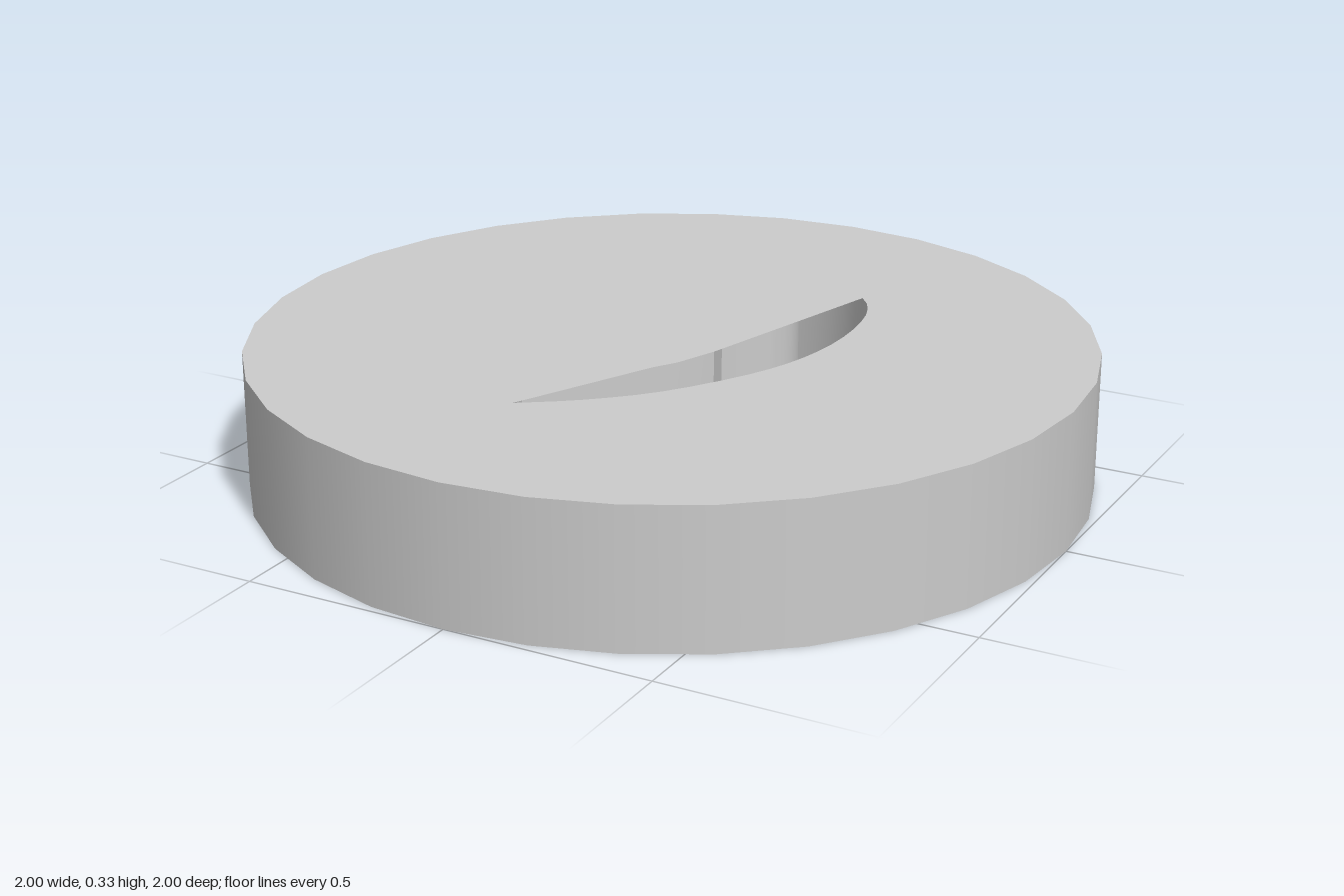
import * as THREE from 'three';
import { toCreasedNormals } from 'three/addons/utils/BufferGeometryUtils.js';

const HEIGHT = 0.333;
const SIDES = 32;
const v = ([x, z]) => new THREE.Vector2(x, z);

// Flat disc with a hole, at height y, facing up or down
function cap(hole, y, up) {
  const s = up ? -1 : 1;
  const rim = [];
  for (let i = 0; i < SIDES; i++) {
    const a = (i / SIDES) * Math.PI * 2;
    rim.push(new THREE.Vector2(Math.cos(a), Math.sin(a)));
  }
  const shape = new THREE.Shape(rim);
  shape.holes.push(new THREE.Path(hole.map((p) => new THREE.Vector2(p.x, s * p.y))));
  return new THREE.ShapeGeometry(shape).rotateX((s * Math.PI) / 2).translate(0, y, 0);
}

// Upright wall following a closed outline, facing its inside
function wall(outline) {
  const pos = [];
  outline.forEach((a, i) => {
    const b = outline[(i + 1) % outline.length];
    pos.push(a.x, 0, a.y, b.x, 0, b.y, b.x, HEIGHT, b.y);
    pos.push(a.x, 0, a.y, b.x, HEIGHT, b.y, a.x, HEIGHT, a.y);
  });
  const g = new THREE.BufferGeometry();
  g.setAttribute('position', new THREE.Float32BufferAttribute(pos, 3));
  return toCreasedNormals(g, 0.6);
}

export function createModel() {
  const group = new THREE.Group();
  const material = new THREE.MeshStandardMaterial({ color: 0xcccccc, side: THREE.DoubleSide });
  const add = (name, geometry) => {
    const mesh = new THREE.Mesh(geometry, material);
    mesh.name = name;
    group.add(mesh);
  };

  // Outer arc of the crescent slot, from back tip to front tip (x, z)
  const DIV = 3;
  const arc = new THREE.SplineCurve([
    [-0.13, -0.6], [0.0, -0.6], [0.15, -0.56], [0.27, -0.48], [0.33, -0.37], [0.35, -0.2],
    [0.33, -0.03], [0.27, 0.13], [0.15, 0.32], [0.02, 0.45], [-0.105, 0.54],
  ].map(v)).getPoints(DIV * 10);

  // Inner edge of the slot: front part, centre notch, then the back curve
  const corner = v([0.13, 0.035]);
  const frontInner = [[-0.13, 0.46], [-0.03, 0.33], [0.09, 0.14]].map(v);
  const notch = v([0.07, -0.12]);
  const backInner = new THREE.SplineCurve(
    [[0.16, -0.19], [0.18, -0.27], [0.15, -0.37], [0.06, -0.45], [-0.107, -0.5]].map(v),
  ).getPoints(12);

  const slot = [...arc, ...frontInner, corner, notch, ...backInner];
  // Each face covers a different part of the slot
  const topOpening = [...arc.slice(DIV * 3), corner];
  const bottomOpening = [...arc.slice(0, DIV * 8 + 1), corner, notch, ...backInner];

  add('rim', new THREE.CylinderGeometry(1, 1, HEIGHT, SIDES, 1, true).translate(0, HEIGHT / 2, 0));
  add('topFace', cap(topOpening, HEIGHT, true));
  add('bottomFace', cap(bottomOpening, 0, false));
  add('slotWall', wall(slot));
  return group;
}
